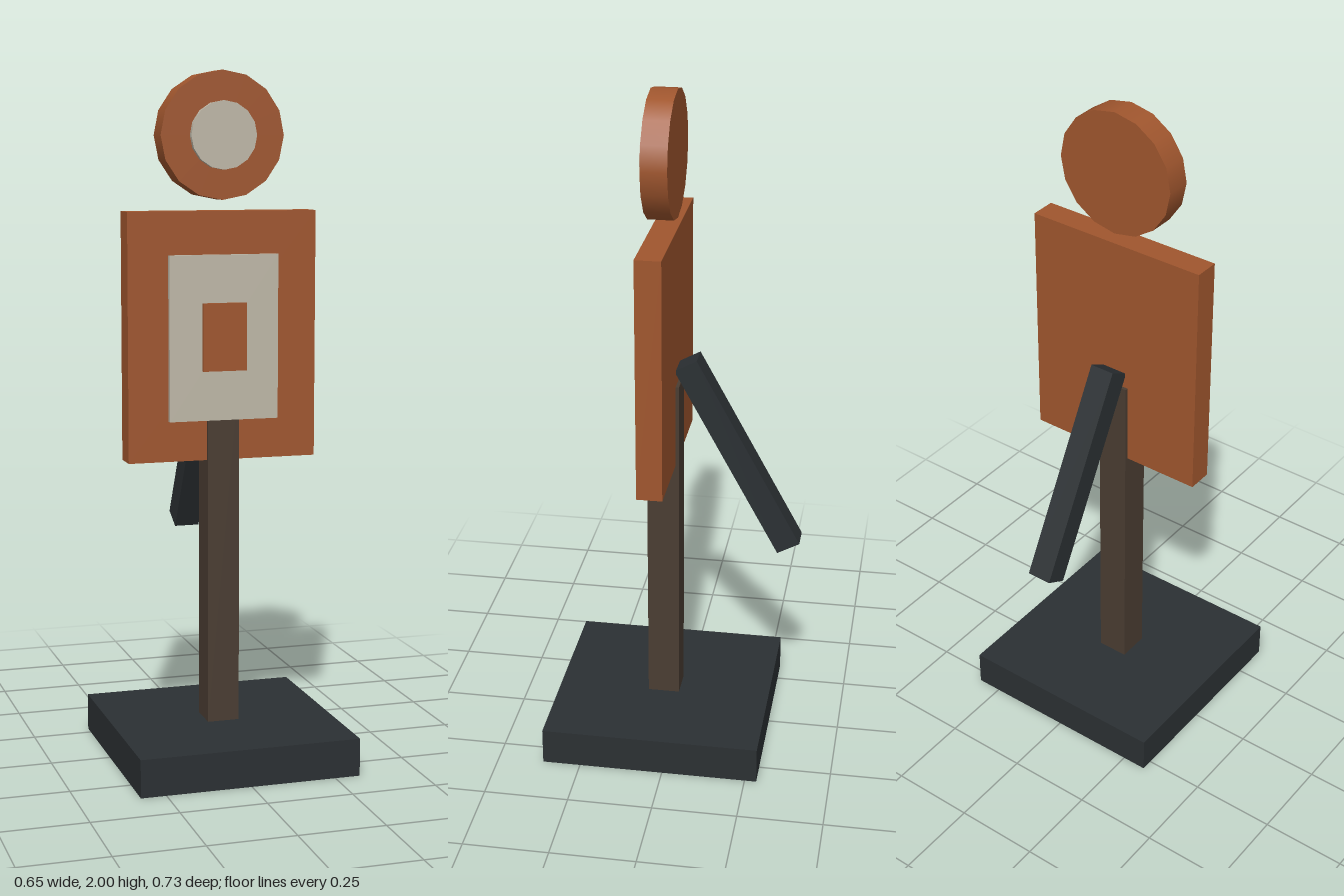
import * as THREE from 'three';

const paint = (color) => new THREE.MeshStandardMaterial({ color });

export function createModel() {
  const model = new THREE.Group();
  const orange = paint(0xa0562e);
  const cream = paint(0xbfb8a8);
  const wood = paint(0x4a3d32);
  const dark = paint(0x2b3033);

  const add = (name, geometry, material, x, y, z) => {
    const mesh = new THREE.Mesh(geometry, material);
    mesh.name = name;
    mesh.position.set(x, y, z);
    model.add(mesh);
    return mesh;
  };

  // Box given by its half width and its y and z ranges
  const slab = (name, material, halfWidth, y0, y1, z0, z1) =>
    add(name, new THREE.BoxGeometry(halfWidth * 2, y1 - y0, z1 - z0), material,
      0, (y0 + y1) / 2, (z0 + z1) / 2);

  // Disc facing the front, with a corner at the top
  const disc = (name, material, radius, y, z0, z1) =>
    add(name, new THREE.CylinderGeometry(radius, radius, z1 - z0, 16).rotateX(Math.PI / 2),
      material, 0, y, (z0 + z1) / 2);

  // Stand
  slab('base', dark, 0.324, 0, 0.11, -0.285, 0.363);
  slab('post', wood, 0.047, 0.11, 1.14, -0.008, 0.087);

  // Body board with its raised scoring plates
  slab('bodyBoard', orange, 0.28, 0.89, 1.605, 0.002, 0.077);
  slab('bodyPlate', cream, 0.162, 1.007, 1.482, 0.079, 0.093);
  slab('bodyCentre', orange, 0.065, 1.15, 1.345, 0.091, 0.103);

  // Head disc and its centre
  disc('headDisc', orange, 0.182, 1.818, 0.002, 0.077);
  disc('headCentre', cream, 0.097, 1.818, 0.075, 0.093);

  // Slanted rear brace
  const brace = add('rearBrace', new THREE.BoxGeometry(0.075, 0.645, 0.074), dark, 0, 0.921, -0.18);
  brace.rotation.x = 0.5;

  return model;
}
